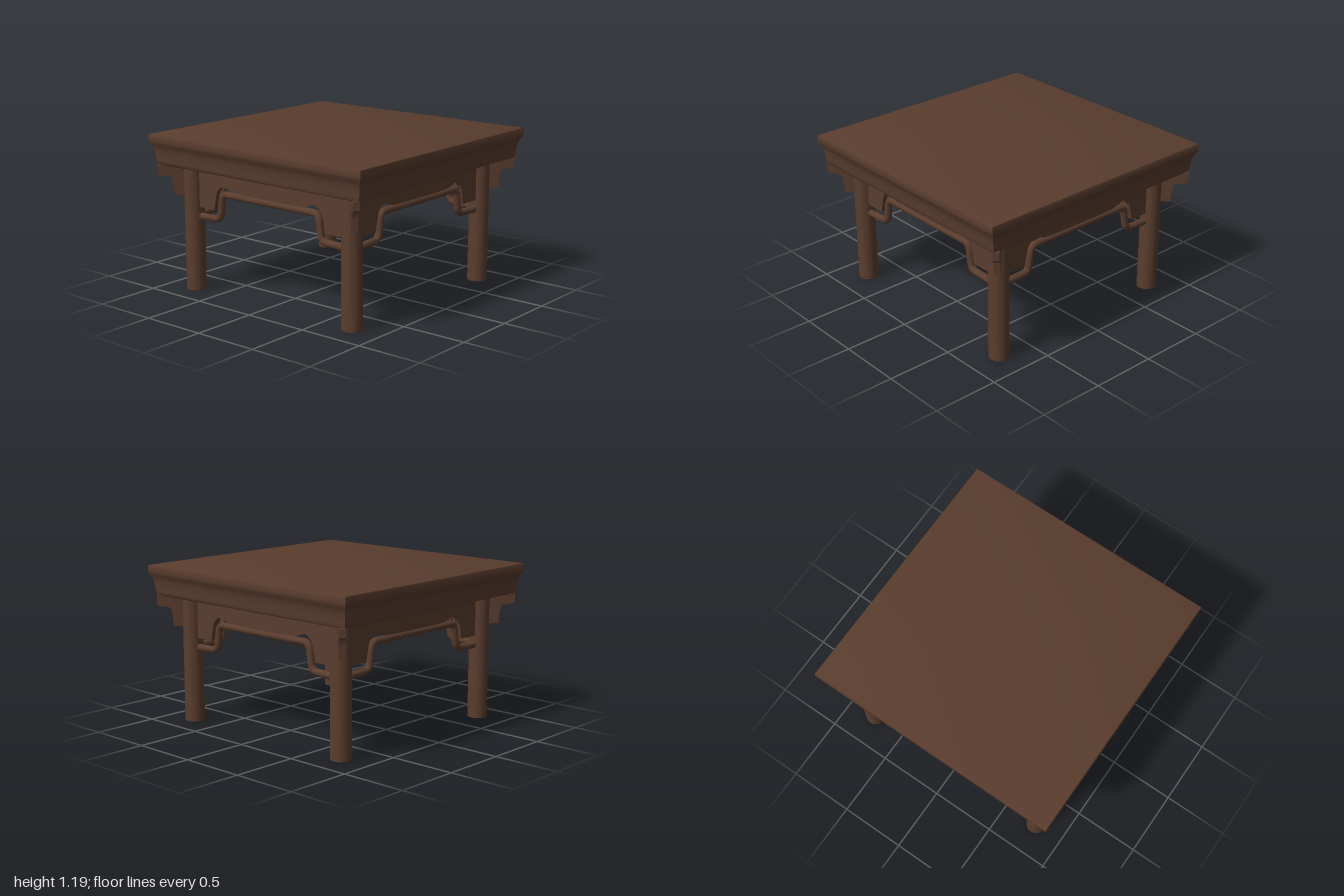
import * as THREE from 'three';
import { toCreasedNormals } from 'three/addons/utils/BufferGeometryUtils.js';

const wood = new THREE.MeshStandardMaterial({ color: 0x5a3d2e });
wood.name = 'dark wood';

const LEG_X = 0.757, LEG_Z = 0.773, LEG_R = 0.075, TOP_BOTTOM = 0.96;

function addMesh(parent, name, geometry) {
  const mesh = new THREE.Mesh(geometry, wood);
  mesh.name = name;
  parent.add(mesh);
  return mesh;
}

// Flat board cut from an outline, centred on its own plane
function board(points, thickness) {
  const shape = new THREE.Shape(points.map(([x, y]) => new THREE.Vector2(x, y)));
  const geometry = new THREE.ExtrudeGeometry(shape, { depth: thickness, bevelEnabled: false });
  return geometry.translate(0, 0, -thickness / 2);
}

// Round bar along straight runs joined by short bends
function bentBar(points, radius, bend) {
  const p = points.map(([x, y]) => new THREE.Vector3(x, y, 0));
  const path = new THREE.CurvePath();
  let start = p[0];
  for (let i = 1; i < p.length - 1; i++) {
    const before = p[i].clone().add(p[i - 1].clone().sub(p[i]).setLength(bend));
    const after = p[i].clone().add(p[i + 1].clone().sub(p[i]).setLength(bend));
    path.add(new THREE.LineCurve3(start, before));
    path.add(new THREE.QuadraticBezierCurve3(before, p[i], after));
    start = after;
  }
  path.add(new THREE.LineCurve3(start, p[p.length - 1]));
  return new THREE.TubeGeometry(path, 90, radius, 12, false);
}

// Mirror a left half outline to the right
const mirrored = (half) => [...half, ...half.map(([x, y]) => [-x, y]).reverse()];

export function createModel() {
  const table = new THREE.Group();
  table.name = 'lowTable';

  // Square top with a moulded edge
  const profile = [
    [0, 0.96], [0.95, 0.96], [0.957, 0.968], [0.959, 0.99], [0.965, 1.03],
    [0.971, 1.07], [0.98, 1.095], [0.994, 1.118], [1, 1.135], [1, 1.175],
    [0.996, 1.186], [0.986, 1.19], [0, 1.19],
  ].map(([r, y]) => new THREE.Vector2(r * Math.SQRT2, y));
  const top = new THREE.LatheGeometry(profile, 4, Math.PI / 4);
  top.scale(1, 1, 0.993);
  addMesh(table, 'tableTop', toCreasedNormals(top, 0.7));

  // Legs, each with a stepped bracket pointing out to the corner
  const legGeometry = new THREE.CylinderGeometry(LEG_R, LEG_R, TOP_BOTTOM, 24);
  const bracketGeometry = board([
    [0.04, 0.73], [0.142, 0.73], [0.152, 0.83], [0.165, 0.872], [0.245, 0.882],
    [0.262, 0.9], [0.266, 0.965], [0.04, 0.965],
  ], 0.045);
  for (const sx of [-1, 1]) {
    for (const sz of [-1, 1]) {
      const x = sx * LEG_X, z = sz * LEG_Z;
      addMesh(table, 'leg', legGeometry).position.set(x, TOP_BOTTOM / 2, z);
      const bracket = addMesh(table, 'cornerBracket', bracketGeometry);
      bracket.position.set(x, 0, z);
      bracket.rotation.y = Math.atan2(-sz, sx);
    }
  }

  // Apron and humped stretcher on each of the four sides
  const apronGeometry = board(mirrored([
    [-0.75, 0.965], [-0.75, 0.645], [-0.535, 0.645], [-0.51, 0.76], [-0.495, 0.795],
    [-0.47, 0.82], [-0.435, 0.833], [-0.40, 0.825], [-0.34, 0.802], [-0.2, 0.797],
  ]), 0.035);
  const stretcherGeometry = bentBar(mirrored([
    [-0.74, 0.57], [-0.487, 0.577], [-0.46, 0.773],
  ]), 0.027, 0.05);
  for (let i = 0; i < 4; i++) {
    const side = new THREE.Group();
    side.name = ['front', 'left', 'back', 'right'][i] + 'Side';
    side.rotation.y = i * Math.PI / 2;
    addMesh(side, 'apron', apronGeometry);
    addMesh(side, 'stretcher', stretcherGeometry);
    for (const part of side.children) part.position.z = i % 2 ? LEG_X : LEG_Z;
    table.add(side);
  }
  return table;
}
